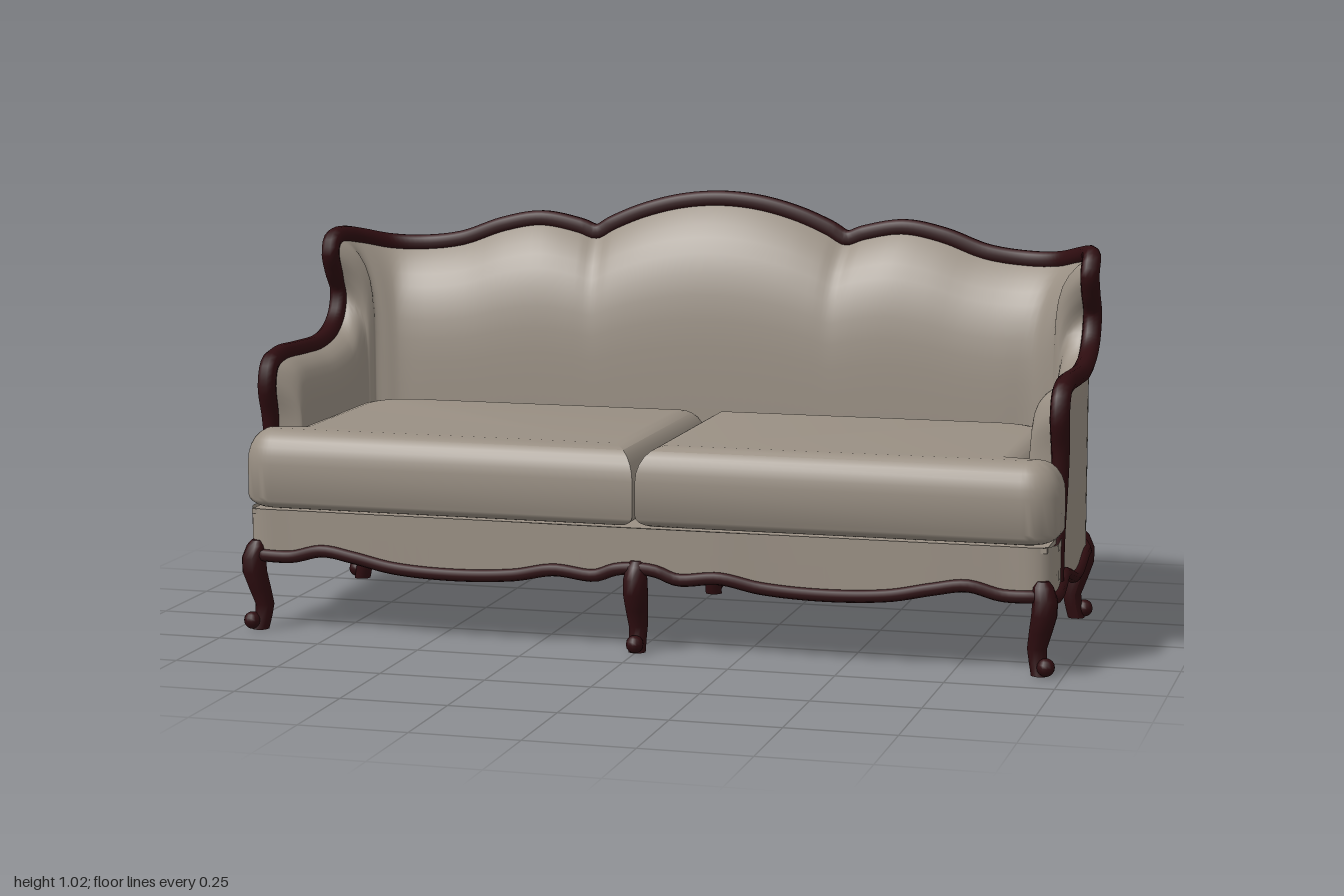
import * as THREE from 'three';
import { mergeVertices, toCreasedNormals } from 'three/addons/utils/BufferGeometryUtils.js';

const fabric = new THREE.MeshStandardMaterial({ color: 0x9a9084, side: THREE.DoubleSide });
fabric.name = 'taupe fabric';
const wood = new THREE.MeshStandardMaterial({ color: 0x2e0d10 });
wood.name = 'dark mahogany';

const { lerp, smoothstep } = THREE.MathUtils;
const vec = (a) => new THREE.Vector3(...a);
const mirrorX = (v) => new THREE.Vector3(-v.x, v.y, v.z);
const bothSides = (pts) => [...pts.slice(1).reverse().map(mirrorX), ...pts];

// Scalloped crest: a centre lobe and a side lobe, sampled at these x
const backX = [0, 0.1, 0.2, 0.28, 0.325, 0.37, 0.47, 0.57, 0.68, 0.79];
const crestHeight = (x) => x <= 0.325
  ? 0.995 - 0.87 * x * x
  : 0.9 + 0.035 * Math.cos((x - 0.47) * Math.PI / 0.3);

// Wing and arm rail, from the back corner down to the arm front
const wing = [
  [0.87, 0.87, -0.35], [0.93, 0.888, -0.29], [0.955, 0.896, -0.24], [0.965, 0.89, -0.19],
  [0.965, 0.857, -0.17], [0.965, 0.81, -0.19], [0.965, 0.76, -0.224], [0.965, 0.7, -0.208],
  [0.965, 0.66, -0.16], [0.965, 0.638, -0.07], [0.965, 0.638, 0.06], [0.965, 0.64, 0.19],
  [0.965, 0.625, 0.243], [0.965, 0.575, 0.262], [0.965, 0.5, 0.244], [0.965, 0.4, 0.236],
  [0.965, 0.3, 0.241], [0.965, 0.185, 0.248],
];

// Below the wing: point number, outer hem x, z, inner padding foot x, z
const wingKeys = [
  [0, 0.85, -0.312, 0.81, -0.25], [2, 0.93, -0.265, 0.87, -0.235],
  [6, 0.958, -0.235, 0.885, -0.215], [8, 0.965, -0.16, 0.89, -0.14],
  [11, 0.971, 0.19, 0.89, 0.18], [13, 0.972, 0.238, 0.89, 0.22], [17, 0.972, 0.248, 0.89, 0.238],
];
function wingKey(i) {
  const k = Math.max(1, wingKeys.findIndex((key) => key[0] >= i));
  const a = wingKeys[k - 1], b = wingKeys[k];
  return a.map((value, n) => lerp(value, b[n], (i - a[0]) / (b[0] - a[0])));
}

// Base rail from the front centre round to the back centre
const baseHalf = [
  [0, 0.2, 0.39], [0.05, 0.195, 0.39], [0.1, 0.178, 0.39], [0.2, 0.186, 0.39],
  [0.3, 0.168, 0.388], [0.45, 0.16, 0.387], [0.6, 0.168, 0.387], [0.7, 0.188, 0.387],
  [0.78, 0.2, 0.386], [0.86, 0.182, 0.385], [0.945, 0.182, 0.382], [0.972, 0.175, 0.35],
  [0.972, 0.182, 0.25], [0.971, 0.2, 0.2], [0.971, 0.185, 0.12], [0.971, 0.166, 0.05],
  [0.971, 0.166, -0.02], [0.971, 0.19, -0.11], [0.963, 0.188, -0.19], [0.92, 0.2, -0.275],
  [0.85, 0.19, -0.312], [0.7, 0.175, -0.336], [0.45, 0.162, -0.343], [0.2, 0.182, -0.346],
  [0, 0.2, -0.347],
];

function mesh(name, geometry, material, parent) {
  const m = new THREE.Mesh(geometry, material);
  m.name = name;
  parent.add(m);
  return m;
}

// Smooth sheet through a grid of points, point(u, v)
function sheet(cols, rows, point) {
  const pos = [], index = [];
  for (let i = 0; i <= cols; i++)
    for (let j = 0; j <= rows; j++) pos.push(...point(i / cols, j / rows).toArray());
  for (let i = 0; i < cols; i++)
    for (let j = 0; j < rows; j++) {
      const a = i * (rows + 1) + j, b = a + rows + 1;
      index.push(a, a + 1, b, b, a + 1, b + 1);
    }
  const g = new THREE.BufferGeometry();
  g.setAttribute('position', new THREE.Float32BufferAttribute(pos, 3));
  g.setIndex(index);
  g.computeVertexNormals();
  return g;
}

// Crest rail tube, slimmer towards the foot of the arm front
function crestRailGeometry(path) {
  const rings = 320, sides = 10;
  const g = new THREE.TubeGeometry(path, rings, 0.023, sides);
  const p = g.attributes.position, v = new THREE.Vector3();
  for (let i = 0; i < p.count; i++) {
    const centre = path.getPointAt(Math.floor(i / (sides + 1)) / rings);
    v.fromBufferAttribute(p, i).sub(centre).multiplyScalar(lerp(0.6, 1, smoothstep(centre.y, 0.25, 0.58)));
    p.setXYZ(i, v.x + centre.x, v.y + centre.y, v.z + centre.z);
  }
  return g;
}

// T-shaped seat cushion on one side, softly domed above and tight below
function cushionGeometry(s) {
  const shape = new THREE.Shape();
  shape.moveTo(s * 0.063, -0.347);
  shape.lineTo(s * 0.9, -0.344);
  shape.quadraticCurveTo(s * 0.923, -0.344, s * 0.923, -0.33);
  shape.lineTo(s * 0.923, -0.32);
  shape.lineTo(s * 0.84, -0.3);
  shape.lineTo(s * 0.84, 0.12);
  shape.quadraticCurveTo(s * 0.83, 0.19, s * 0.75, 0.2);
  shape.lineTo(s * 0.063, 0.2);
  shape.closePath();
  let g = new THREE.ExtrudeGeometry(shape, {
    depth: 0.08, bevelThickness: 0.08, bevelSize: 0.06, bevelSegments: 6, curveSegments: 8,
  });
  g.rotateX(-Math.PI / 2);
  const p = g.attributes.position;
  for (let i = 0; i < p.count; i++) if (p.getY(i) < 0) p.setY(i, p.getY(i) * 0.4);
  g.deleteAttribute('uv');
  g.deleteAttribute('normal');
  g = mergeVertices(g, 1e-4);
  return toCreasedNormals(g, 0.8);
}

// Curved leg leaning along +x: height, outward shift, radius
const legRows = [
  [0.218, 0, 0.014], [0.205, 0.002, 0.024], [0.175, 0.01, 0.029], [0.14, 0.008, 0.03],
  [0.1, -0.004, 0.027], [0.06, -0.016, 0.023], [0.03, -0.012, 0.021], [0, -0.004, 0.021],
];
function legGeometry() {
  const g = new THREE.CylinderGeometry(1, 1, 1, 12, legRows.length - 1);
  const p = g.attributes.position;
  for (let i = 0; i < p.count; i++) {
    const row = Math.round((0.5 - p.getY(i)) * (legRows.length - 1));
    const [y, shift, r] = legRows[row];
    p.setXYZ(i, p.getX(i) * r + shift, y, p.getZ(i) * r);
  }
  g.computeVertexNormals();
  return g;
}

export function createModel() {
  const sofa = new THREE.Group();
  sofa.name = 'sofa';

  // Scalloped base rail, with the fabric apron above its front part
  const half = baseHalf.map(vec);
  const loop = [...half, ...half.slice(1, -1).reverse().map(mirrorX)];
  const base = new THREE.CatmullRomCurve3(loop, true);
  mesh('baseRail', new THREE.TubeGeometry(base, 320, 0.015, 8, true), wood, sofa);
  mesh('apron', sheet(120, 2, (u, v) => {
    const p = base.getPoint((u * 0.5 + 0.75) % 1);
    p.y = lerp(p.y, 0.295, v);
    return p;
  }), fabric, sofa);

  // Matching guide curves: crest rail, outer hem, foot of the inner padding
  const baseSamples = base.getPoints(600);
  const onBase = (x, z) => baseSamples.reduce((best, p) =>
    Math.hypot(p.x - x, p.z - z) < Math.hypot(best.x - x, best.z - z) ? p : best);
  const railPts = [], hemPts = [], footPts = [];
  for (const x of backX) {
    railPts.push(vec([x, crestHeight(x), -0.395 + 0.03 * x * x]));
    hemPts.push(onBase(0.975 * x, -0.345 + 0.024 * x * x));
    footPts.push(vec([0.94 * x, 0.3, -0.25]));
  }
  wing.forEach((p, i) => {
    const [, hx, hz, fx, fz] = wingKey(i);
    railPts.push(vec(p));
    hemPts.push(onBase(hx, hz));
    footPts.push(vec([fx, 0.3, fz]));
  });
  const [rail, hem, foot] = [railPts, hemPts, footPts].map((p) => new THREE.CatmullRomCurve3(bothSides(p)));

  // Upholstered shell: outer and inner sheets hung from the crest rail
  const hang = (lower, power) => (u, v) => {
    const top = rail.getPoint(u), low = lower.getPoint(u);
    const s = v * v;
    const e = 1 - Math.pow(1 - s, power + 6 * smoothstep(top.z, -0.27, -0.19));
    return new THREE.Vector3(
      lerp(top.x, low.x, e), lerp(top.y, Math.min(low.y, top.y), s), lerp(top.z, low.z, e));
  };
  mesh('outerUpholstery', sheet(216, 14, hang(hem, 1)), fabric, sofa);
  mesh('innerUpholstery', sheet(216, 14, hang(foot, 6)), fabric, sofa);

  // Carved crest rail running over the back and down the arm fronts
  mesh('crestRail', crestRailGeometry(rail), wood, sofa);

  // Front ledge and cushions
  mesh('frontLedge', new THREE.BoxGeometry(1.92, 0.012, 0.14), fabric, sofa).position.set(0, 0.288, 0.312);
  for (const s of [-1, 1])
    mesh(s > 0 ? 'leftCushion' : 'rightCushion', cushionGeometry(s), fabric, sofa).position.y = 0.326;

  // Six legs with scrolled feet: name, x, z, outward x, outward z
  const legs = [['frontCentreLeg', 0, 0.383, 0, 1], ['backCentreLeg', 0, -0.328, 0, -1]];
  for (const s of [-1, 1]) {
    const side = s > 0 ? 'Left' : 'Right';
    legs.push(['front' + side + 'Leg', s * 0.95, 0.375, s, 0.9]);
    legs.push(['back' + side + 'Leg', s * 0.935, -0.278, s, -0.5]);
  }
  const legGeo = legGeometry();
  const footGeo = new THREE.SphereGeometry(0.021, 12, 8);
  for (const [name, x, z, dx, dz] of legs) {
    const leg = new THREE.Group();
    leg.name = name;
    mesh('shaft', legGeo, wood, leg);
    mesh('scrollFoot', footGeo, wood, leg).position.set(0.016, 0.022, 0);
    leg.position.set(x, 0, z);
    leg.rotation.y = Math.atan2(-dz, dx);
    sofa.add(leg);
  }
  return sofa;
}
